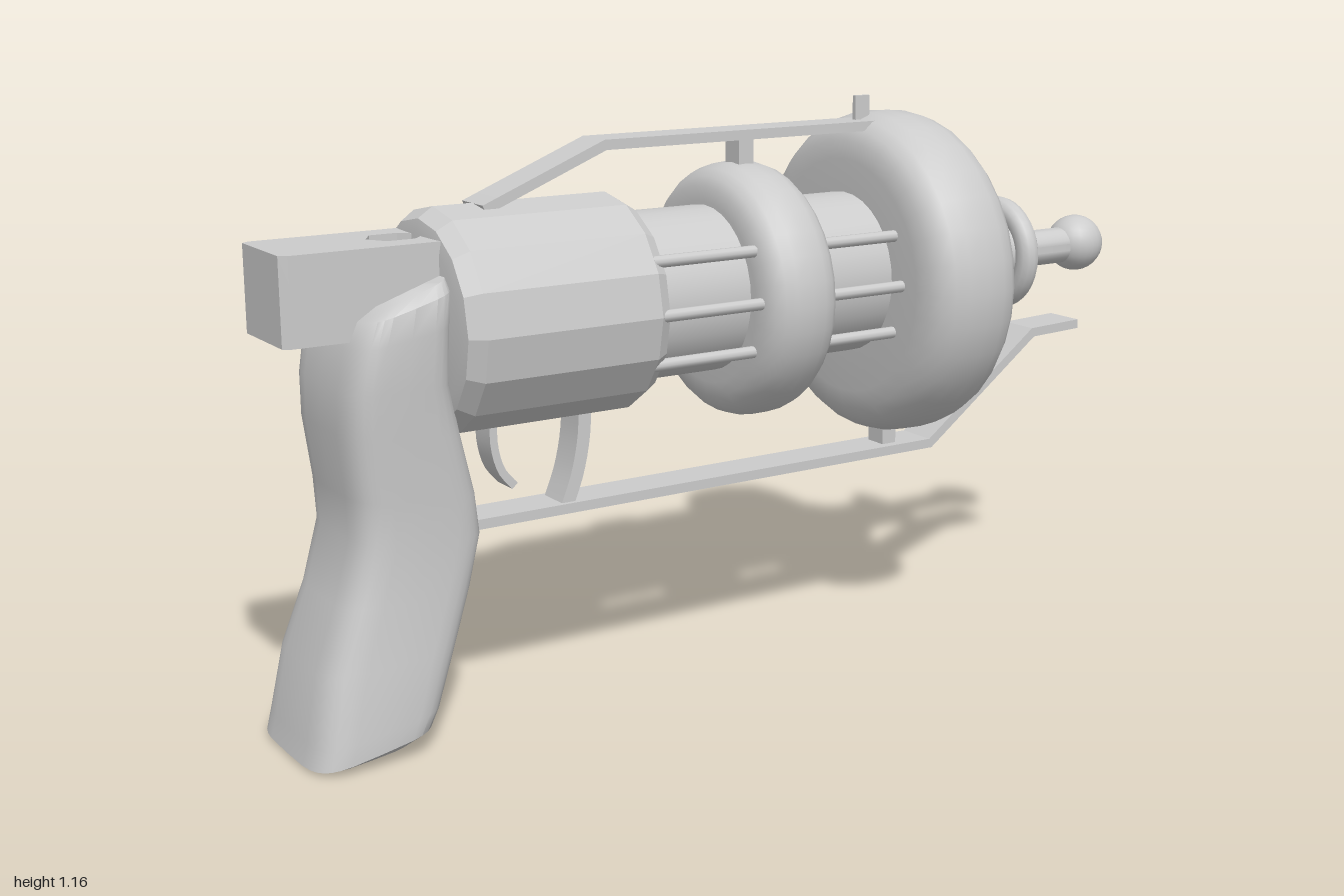
import * as THREE from 'three';
import { toCreasedNormals } from 'three/addons/utils/BufferGeometryUtils.js';

const material = new THREE.MeshStandardMaterial({ color: 0xcccccc });

export function createModel() {
  const group = new THREE.Group();

  const add = (name, geometry, x = 0, y = 0, z = 0) => {
    const mesh = new THREE.Mesh(geometry, material);
    mesh.name = name;
    mesh.position.set(x, y, z);
    group.add(mesh);
    return mesh;
  };

  // Turned part along x, profile given as [x, radius]
  const turned = (name, profile, y, sides, crease = 0.5) => {
    const points = profile.map(([x, r]) => new THREE.Vector2(r, x));
    const g = new THREE.LatheGeometry(points, sides).rotateZ(-Math.PI / 2);
    return add(name, toCreasedNormals(g, crease), 0, y);
  };

  // Bent flat bar: an xy path given thickness t and a width along z
  const strip = (name, path, t, width) => {
    const p = path.map(([x, y]) => new THREE.Vector2(x, y));
    const upper = [], lower = [];
    p.forEach((c, i) => {
      const a = p[Math.max(i - 1, 0)], b = p[Math.min(i + 1, p.length - 1)];
      const d1 = i > 0 ? c.clone().sub(a).normalize() : b.clone().sub(c).normalize();
      const d2 = i < p.length - 1 ? b.clone().sub(c).normalize() : d1;
      const d = d1.clone().add(d2).normalize();
      const n = new THREE.Vector2(-d.y, d.x).multiplyScalar(t / 2 / d.dot(d1));
      upper.push(c.clone().add(n));
      lower.unshift(c.clone().sub(n));
    });
    const g = new THREE.ExtrudeGeometry(new THREE.Shape([...lower, ...upper]),
      { depth: width, bevelEnabled: false });
    return add(name, toCreasedNormals(g, 0.5), 0, 0, -width / 2);
  };
  const curved = (pts) => new THREE.SplineCurve(pts.map(([x, y]) => new THREE.Vector2(x, y)))
    .getPoints(10).map((v) => [v.x, v.y]);

  // Receiver, inner barrel and the two rounded rings
  turned('receiver', [[-0.7, 0], [-0.7, 0.17], [-0.695, 0.195], [-0.665, 0.215], [-0.3, 0.215],
    [-0.275, 0.2], [-0.27, 0.17], [-0.27, 0]], 0.79, 16, 0.3);
  turned('barrel', [[-0.3, 0.168], [0.32, 0.168]], 0.793, 32);
  const ring = (name, x, half, r, round) => {
    const profile = [[x - half, 0.12]];
    for (let i = 0; i <= 10; i++) {
      const a = Math.PI * i / 10;
      profile.push([x - half * Math.sign(Math.cos(a)) * Math.abs(Math.cos(a)) ** 0.8,
        r - round + round * Math.sin(a) ** 0.8]);
    }
    profile.push([x + half, 0.12]);
    turned(name, profile, 0.783, 32);
  };
  ring('smallRing', 0.015, 0.085, 0.26, 0.075);
  ring('largeRing', 0.39, 0.112, 0.343, 0.095);

  // Thin rods along both sides of the barrel
  for (const side of [0, Math.PI]) {
    for (const tilt of [-1, 0, 1]) {
      const a = side + tilt * Math.PI / 6;
      const rod = new THREE.CylinderGeometry(0.012, 0.012, 0.62, 10).rotateZ(Math.PI / 2);
      add('sideRod', rod, 0.01, 0.79 + 0.2 * Math.sin(a), 0.2 * Math.cos(a));
    }
  }

  // Nose cone, collar, muzzle rod and ball
  turned('noseCone', [[0.47, 0.172], [0.505, 0.172], [0.59, 0.08], [0.685, 0.08], [0.69, 0.06],
    [0.73, 0.06], [0.735, 0.04], [0.9, 0.04]], 0.793, 32);
  const collar = new THREE.TorusGeometry(0.1, 0.025, 12, 36).rotateY(Math.PI / 2);
  add('collar', collar, 0.705, 0.794);
  add('muzzleBall', new THREE.SphereGeometry(0.063, 24, 16), 0.937, 0.795);

  // Rear block with a notch cut down through the top
  const plan = new THREE.Shape([[-1, -0.085], [-0.985, -0.095], [-0.66, -0.095], [-0.66, 0.095],
    [-0.985, 0.095], [-1, 0.085]].map(([x, z]) => new THREE.Vector2(x, z)));
  const notched = plan.clone();
  notched.holes.push(new THREE.Path([[-0.8, 0], [-0.775, 0.04], [-0.72, 0.04], [-0.7, 0.02],
    [-0.7, -0.02], [-0.72, -0.04], [-0.775, -0.04]].map(([x, z]) => new THREE.Vector2(x, z))));
  const slab = (shape, depth) => new THREE.ExtrudeGeometry(shape, { depth, bevelEnabled: false })
    .rotateX(-Math.PI / 2);
  add('rearBlock', slab(plan, 0.115), 0, 0.79);
  add('rearBlockTop', slab(notched, 0.05), 0, 0.905);

  // Grip: rounded sections [back x, back y, front x, front y, half width]
  add('grip', loft([
    [-0.985, 0.003, -0.79, 0.028, 0.14],
    [-1.0, 0.008, -0.75, 0.055, 0.16],
    [-0.99, 0.05, -0.732, 0.09, 0.16],
    [-0.965, 0.18, -0.69, 0.2, 0.148],
    [-0.92, 0.3, -0.655, 0.3, 0.138],
    [-0.887, 0.42, -0.63, 0.4, 0.136],
    [-0.89, 0.5, -0.64, 0.48, 0.14],
    [-0.903, 0.62, -0.67, 0.6, 0.148],
    [-0.9, 0.7, -0.693, 0.7, 0.155],
    [-0.885, 0.78, -0.69, 0.81, 0.16],
    [-0.865, 0.825, -0.685, 0.875, 0.155],
    [-0.83, 0.848, -0.69, 0.896, 0.135],
  ]));

  // Trigger and the curved stay behind the lower rail
  strip('trigger', curved([[-0.568, 0.6], [-0.567, 0.54], [-0.553, 0.49], [-0.525, 0.455]]), 0.016, 0.06);
  strip('lowerStay', curved([[-0.37, 0.6], [-0.375, 0.53], [-0.39, 0.46], [-0.415, 0.395]]), 0.028, 0.07);

  // Bent rails above and below, with their posts
  strip('upperRail', [[-0.58, 0.995], [-0.32, 1.1], [0.34, 1.1]], 0.02, 0.085);
  strip('lowerRail', [[-0.64, 0.395], [0.49, 0.395], [0.78, 0.61], [0.915, 0.615]], 0.02, 0.09);
  add('upperPost', new THREE.BoxGeometry(0.035, 0.1, 0.05), 0.015, 1.05);
  add('lowerPost', new THREE.BoxGeometry(0.035, 0.1, 0.05), 0.39, 0.44);
  add('frontSight', new THREE.BoxGeometry(0.036, 0.07, 0.01), 0.32, 1.125);

  return group;
}

// Skin through rounded rectangular sections, closed at both ends
function loft(stations) {
  const n = 32, pos = [], index = [];
  const power = (v) => Math.sign(v) * Math.abs(v) ** 0.45;
  for (const [xb, yb, xf, yf, w] of stations) {
    for (let i = 0; i < n; i++) {
      const a = 2 * Math.PI * i / n;
      const t = (power(Math.cos(a)) + 1) / 2;
      pos.push(xb + (xf - xb) * t, yb + (yf - yb) * t, w * power(Math.sin(a)));
    }
  }
  const last = stations.length - 1;
  for (let s = 0; s < last; s++) {
    for (let i = 0; i < n; i++) {
      const a = s * n + i, b = s * n + (i + 1) % n;
      index.push(a, a + n, b, b, a + n, b + n);
    }
  }
  for (const s of [0, last]) {
    const [xb, yb, xf, yf] = stations[s], c = pos.length / 3;
    pos.push((xb + xf) / 2, (yb + yf) / 2, 0);
    for (let i = 0; i < n; i++) {
      const a = s * n + i, b = s * n + (i + 1) % n;
      if (s === 0) index.push(c, a, b); else index.push(c, b, a);
    }
  }
  const g = new THREE.BufferGeometry();
  g.setAttribute('position', new THREE.Float32BufferAttribute(pos, 3));
  g.setIndex(index);
  return toCreasedNormals(g, 0.7);
}
